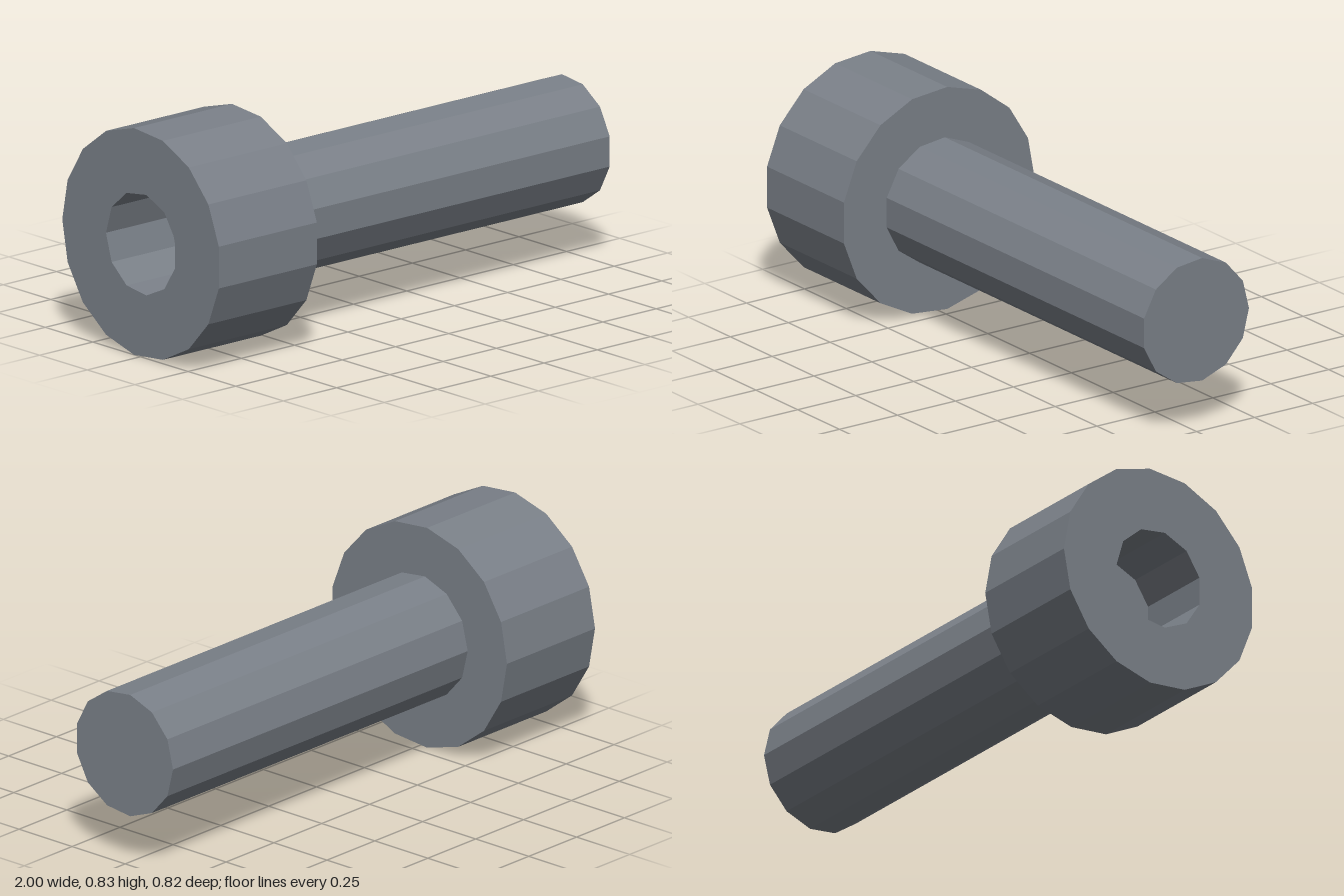
import * as THREE from 'three';

const AXIS_Y = 0.415, AXIS_Z = 0.004;

// Corners of a regular polygon, the first one pointing to the back
function polygon(sides, radius, PathType = THREE.Shape) {
  const points = [];
  for (let i = 0; i < sides; i++) {
    const a = (i / sides) * Math.PI * 2;
    points.push(new THREE.Vector2(radius * Math.cos(a), radius * Math.sin(a)));
  }
  return new PathType(points);
}

// Extrudes a cross-section along x from x0 to x1
function prism(name, shape, x0, x1, material) {
  const geometry = new THREE.ExtrudeGeometry(shape, { depth: x1 - x0, bevelEnabled: false });
  geometry.rotateY(Math.PI / 2);
  geometry.translate(x0, AXIS_Y, AXIS_Z);
  const mesh = new THREE.Mesh(geometry, material);
  mesh.name = name;
  return mesh;
}

export function createModel() {
  const steel = new THREE.MeshStandardMaterial({ color: 0x7a8088, flatShading: true });
  steel.name = 'steel';

  const group = new THREE.Group();
  group.name = 'socketHeadBolt';

  // Head: a ring around the socket, closed by a solid base
  const ring = polygon(17, 0.4145);
  ring.holes.push(polygon(11, 0.185, THREE.Path));
  group.add(prism('headSocketRing', ring, -1, -0.7, steel));
  group.add(prism('headBase', polygon(17, 0.4145), -0.7, -0.54, steel));

  // Shank, sunk slightly into the head
  group.add(prism('shank', polygon(13, 0.2295), -0.6, 1, steel));
  return group;
}
